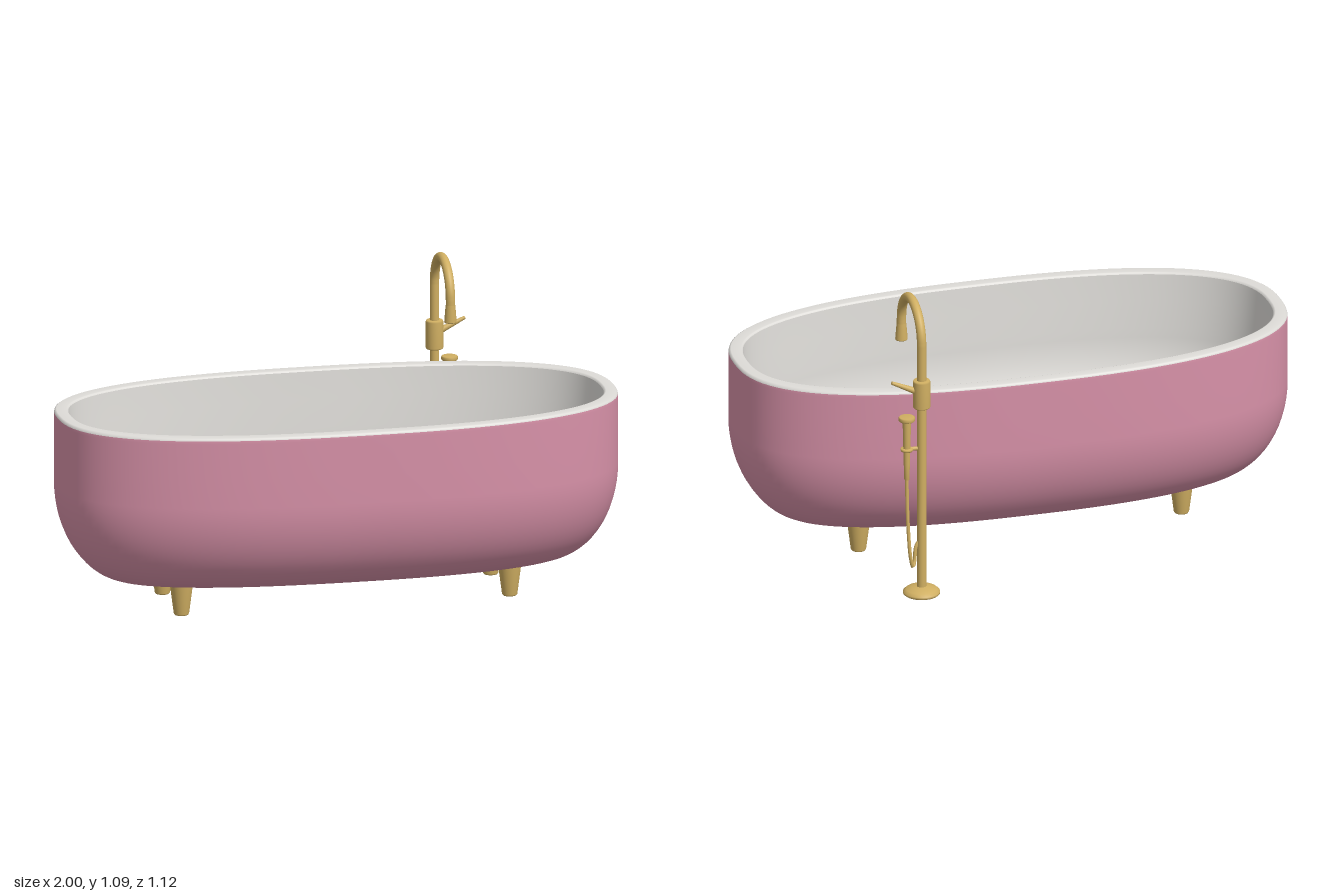
import * as THREE from 'three';

const pink = new THREE.MeshStandardMaterial({ color: 0xd791a8 });
pink.name = 'pinkEnamel';
const white = new THREE.MeshStandardMaterial({ color: 0xdedcd8 });
white.name = 'whiteEnamel';
const gold = new THREE.MeshStandardMaterial({ color: 0xd0af62 });
gold.name = 'brushedGold';

const TUB_Z = 0.092, HALF_X = 1, HALF_Z = 0.467;

// Lofts superellipse rings; each row is [inset, y, scale]
function loft(rows, segments = 112) {
  const pos = [], index = [], power = 2 / 2.5;
  const curve = (v) => Math.sign(v) * Math.abs(v) ** power;
  rows.forEach(([inset, y, scale = 1], i) => {
    for (let j = 0; j < segments; j++) {
      const t = (j / segments) * Math.PI * 2;
      pos.push((HALF_X - inset) * scale * curve(Math.cos(t)), y, (HALF_Z - inset) * scale * curve(Math.sin(t)));
      if (i === rows.length - 1) continue;
      const a = i * segments + j, b = i * segments + (j + 1) % segments;
      index.push(a, a + segments, b, b, a + segments, b + segments);
    }
  });
  const geo = new THREE.BufferGeometry();
  geo.setAttribute('position', new THREE.Float32BufferAttribute(pos, 3));
  geo.setIndex(index);
  geo.computeVertexNormals();
  return geo;
}

// Quarter-ellipse rows from the flat floor up to the wall
function bowl(wallInset, floorInset, floorY, wallY, steps = 16) {
  const rows = [];
  for (let i = 0; i <= steps; i++) {
    const t = (i / steps) * Math.PI / 2;
    rows.push([floorInset - (floorInset - wallInset) * Math.sin(t), wallY - (wallY - floorY) * Math.cos(t)]);
  }
  return rows;
}

function add(group, name, geo, mat, x = 0, y = 0, z = 0) {
  const mesh = new THREE.Mesh(geo, mat);
  mesh.name = name;
  mesh.position.set(x, y, z);
  group.add(mesh);
  return mesh;
}

const cyl = (top, bottom, h, sides = 32) => new THREE.CylinderGeometry(top, bottom, h, sides);
const lathe = (pts) => new THREE.LatheGeometry(pts.map(([r, y]) => new THREE.Vector2(r, y)), 32);
const v = (x, y, z) => new THREE.Vector3(x, y, z);

function makeTub() {
  const tub = new THREE.Group();
  tub.name = 'tub';
  tub.position.z = TUB_Z;
  // Outside shell and underside
  add(tub, 'outerShell', loft([...bowl(0, 0.23, 0.11, 0.45), [0, 0.55], [0, 0.685], [0.001, 0.695]]), pink);
  add(tub, 'underside', loft([[0.23, 0.11, 0], [0.23, 0.11]]), pink);
  // Rim with softened edges
  add(tub, 'rim', loft([[0.001, 0.695], [0.003, 0.701], [0.009, 0.705], [0.042, 0.705], [0.047, 0.703], [0.05, 0.698]]), white);
  // Basin, running from the rim down to the floor
  const basin = [[0.05, 0.698], [0.058, 0.6], ...bowl(0.068, 0.3, 0.16, 0.5).reverse(), [0.3, 0.16, 0.8], [0.3, 0.16, 0]];
  add(tub, 'basin', loft(basin), white);
  add(tub, 'drain', lathe([[0.042, 0], [0.042, 0.005], [0.037, 0.008], [0, 0.008]]), gold, 0, 0.159, 0);
  return tub;
}

function makeFaucet() {
  const faucet = new THREE.Group();
  faucet.name = 'faucet';
  faucet.position.set(0.49, 0, -0.495);

  // Floor plate and standing pipe
  add(faucet, 'floorPlate', lathe([[0, 0], [0.06, 0], [0.065, 0.004], [0.065, 0.011], [0.055, 0.02], [0.035, 0.027], [0.017, 0.03]]), gold);
  add(faucet, 'standPipe', cyl(0.0165, 0.0165, 0.72), gold, 0, 0.37, 0);
  // Mixer body with tapered lever
  add(faucet, 'mixerBody', lathe([[0, 0.708], [0.028, 0.708], [0.031, 0.712], [0.031, 0.806], [0.028, 0.812], [0, 0.812]]), gold);
  const lever = add(faucet, 'lever', cyl(0.006, 0.012, 0.1, 20), gold, 0.064, 0.793, 0);
  lever.rotation.z = -1.13;

  // Gooseneck spout
  const path = new THREE.CurvePath();
  const arc = [];
  for (let i = 0; i <= 16; i++) {
    const t = Math.PI * i / 16;
    arc.push(v(0, 0.945 + 0.124 * Math.sin(t), 0.124 - 0.124 * Math.cos(t)));
  }
  path.add(new THREE.LineCurve3(v(0, 0.8, 0), v(0, 0.945, 0)));
  path.add(new THREE.CatmullRomCurve3(arc));
  path.add(new THREE.LineCurve3(v(0, 0.945, 0.248), v(0, 0.885, 0.248)));
  add(faucet, 'spout', new THREE.TubeGeometry(path, 72, 0.0165, 20), gold);
  add(faucet, 'spoutTip', lathe([[0, 0.867], [0.021, 0.867], [0.022, 0.87], [0.017, 0.93]]), gold, 0, 0, 0.248);

  // Hand shower, held beside the pipe
  const handX = 0.054;
  add(faucet, 'showerHead', lathe([[0, 0.663], [0.026, 0.663], [0.029, 0.666], [0.029, 0.676], [0.026, 0.679], [0, 0.679]]), gold, handX);
  add(faucet, 'showerHandle', lathe([[0, 0.44], [0.009, 0.44], [0.011, 0.5], [0.014, 0.62], [0.015, 0.665]]), gold, handX);
  add(faucet, 'holderRing', lathe([[0.01, 0.55], [0.021, 0.55], [0.023, 0.555], [0.021, 0.56], [0.01, 0.56]]), gold, handX);
  const arm = add(faucet, 'holderArm', cyl(0.007, 0.007, handX, 16), gold, handX / 2, 0.555, 0);
  arm.rotation.z = Math.PI / 2;

  // Hose hanging down and looping back into the pipe
  const hose = new THREE.CatmullRomCurve3([
    v(handX, 0.45, 0), v(handX, 0.36, -0.004), v(0.052, 0.24, -0.014), v(0.046, 0.15, -0.02),
    v(0.036, 0.113, -0.015), v(0.028, 0.13, -0.007), v(0.022, 0.18, -0.002), v(0.008, 0.205, 0),
  ]);
  add(faucet, 'hose', new THREE.TubeGeometry(hose, 64, 0.0065, 12), gold);
  return faucet;
}

export function createModel() {
  const model = new THREE.Group();
  model.name = 'bathtub';
  model.add(makeTub(), makeFaucet());

  // Four tapered feet
  const foot = lathe([[0, 0], [0.023, 0], [0.027, 0.005], [0.04, 0.105], [0.04, 0.115]]);
  for (const x of [-0.59, 0.59]) {
    for (const z of [-0.055, 0.24]) add(model, 'foot', foot, gold, x, 0, z);
  }
  return model;
}
